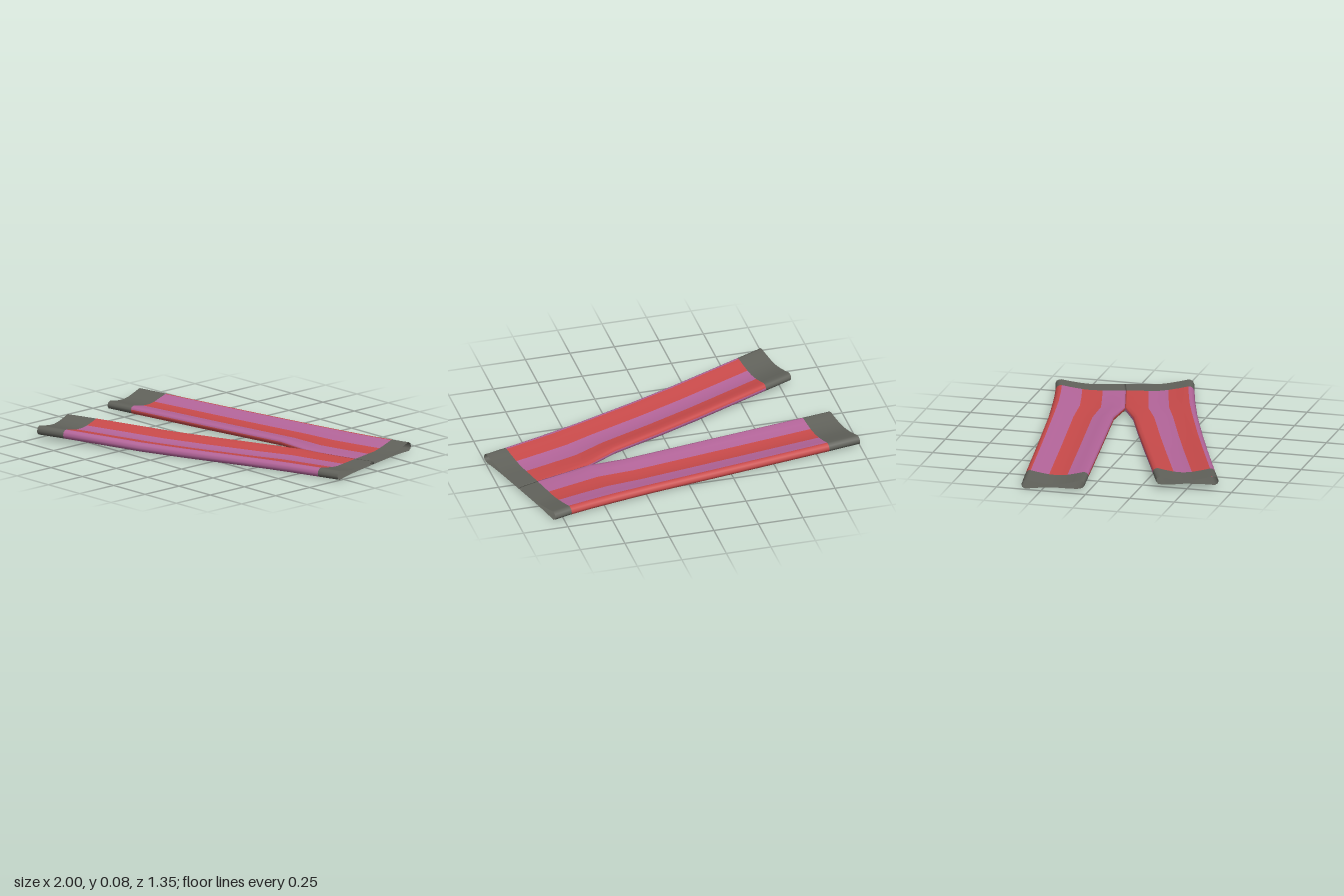
import * as THREE from 'three';

// Cross-section of a flattened leg, running round from the outer edge:
// [position from outer (0) to inner (1), height, stripe number of the next strip]
const RING = [
  [0, 0.024, 0], [0.02, 0.04, 0], [0.055, 0.048, 0], [0.09, 0.049, 1],
  [0.2, 0.04, 1], [0.38, 0.028, 2], [0.52, 0.024, 2], [0.67, 0.028, 3],
  [0.82, 0.038, 3], [0.93, 0.047, 3], [0.98, 0.041, 3], [1, 0.03, 4],
  [1, 0.018, 4], [0.97, 0.006, 4], [0.9, 0.001, 4], [0.8, 0.001, 5],
  [0.55, 0.007, 6], [0.3, 0.006, 7], [0.06, 0, 0], [0.015, 0.009, 0],
];
const INNER_BOTTOM = 12;

// Stations from cuff to waist: [outer x, outer z, inner x, inner z, lift, inner edge fullness]
const BACK = [
  [-1, -0.36, -0.915, -0.03, 0.003, 1],
  [-0.82, -0.39, -0.755, -0.053, 0.002, 1],
  [-0.3, -0.47, -0.24, -0.127, 0, 1],
  [0.225, -0.553, 0.28, -0.203, 0, 0.9],
  [0.42, -0.59, 0.48, -0.197, 0, 0.4],
  [0.58, -0.622, 0.63, -0.237, 0, 0.1],
  [0.7, -0.65, 0.79, -0.28, 0, 0],
  [0.8, -0.68, 0.9, -0.317, 0, 0],
];
const FRONT = [
  [-0.72, 0.67, -0.81, 0.345, 0.027, 1],
  [-0.575, 0.612, -0.65, 0.28, 0.022, 1],
  [-0.15, 0.447, -0.22, 0.108, 0.004, 1],
  [0.1, 0.35, 0.03, 0.007, 0, 1],
  [0.445, 0.22, 0.3, -0.1, 0, 0.9],
  [0.58, 0.175, 0.48, -0.197, 0, 0.4],
  [0.7, 0.135, 0.63, -0.237, 0, 0.1],
  [0.88, 0.08, 0.79, -0.28, 0, 0],
  [1, 0.045, 0.9, -0.317, 0, 0],
];

// Loft one leg; material slots: 0 trim, 1 even stripes, 2 odd stripes
function legGeometry(stations, flip) {
  const n = RING.length;
  const positions = [];
  for (const [ox, oz, ix, iz, lift, full] of stations) {
    RING.forEach(([s, h, band], j) => {
      // The inner half flattens out where both legs merge below the waist
      const flat = j < INNER_BOTTOM ? 0.022 : 0.008;
      const y = s > 0.5 ? THREE.MathUtils.lerp(flat, h, full) : h;
      positions.push(ox + (ix - ox) * s, y + lift, oz + (iz - oz) * s);
    });
  }
  const slots = [[], [], []];
  for (let i = 0; i < stations.length - 1; i++) {
    const trim = i === 0 || i === stations.length - 2;
    for (let j = 0; j < n; j++) {
      const a = i * n + j, b = i * n + (j + 1) % n;
      const c = a + n, d = b + n;
      const slot = slots[trim ? 0 : 1 + (RING[j][2] % 2)];
      if (flip) slot.push(a, c, b, b, c, d);
      else slot.push(a, b, c, b, d, c);
    }
  }
  const geometry = new THREE.BufferGeometry();
  geometry.setAttribute('position', new THREE.Float32BufferAttribute(positions, 3));
  geometry.setIndex(slots.flat());
  let start = 0;
  slots.forEach((slot, k) => {
    geometry.addGroup(start, slot.length, k);
    start += slot.length;
  });
  geometry.computeVertexNormals();
  return geometry;
}

function material(name, color) {
  const m = new THREE.MeshStandardMaterial({ color, side: THREE.DoubleSide });
  m.name = name;
  return m;
}

export function createModel() {
  const trim = material('grey trim', 0x61625b);
  const red = material('red cloth', 0xc84a4a);
  const pink = material('pink cloth', 0xb4659a);

  const trousers = new THREE.Group();
  trousers.name = 'stripedTrousers';

  // Two striped legs, each with a grey cuff and its half of the waistband
  const backLeg = new THREE.Mesh(legGeometry(BACK, false), [trim, red, pink]);
  backLeg.name = 'backLeg';
  const frontLeg = new THREE.Mesh(legGeometry(FRONT, true), [trim, pink, red]);
  frontLeg.name = 'frontLeg';

  trousers.add(backLeg, frontLeg);
  return trousers;
}
